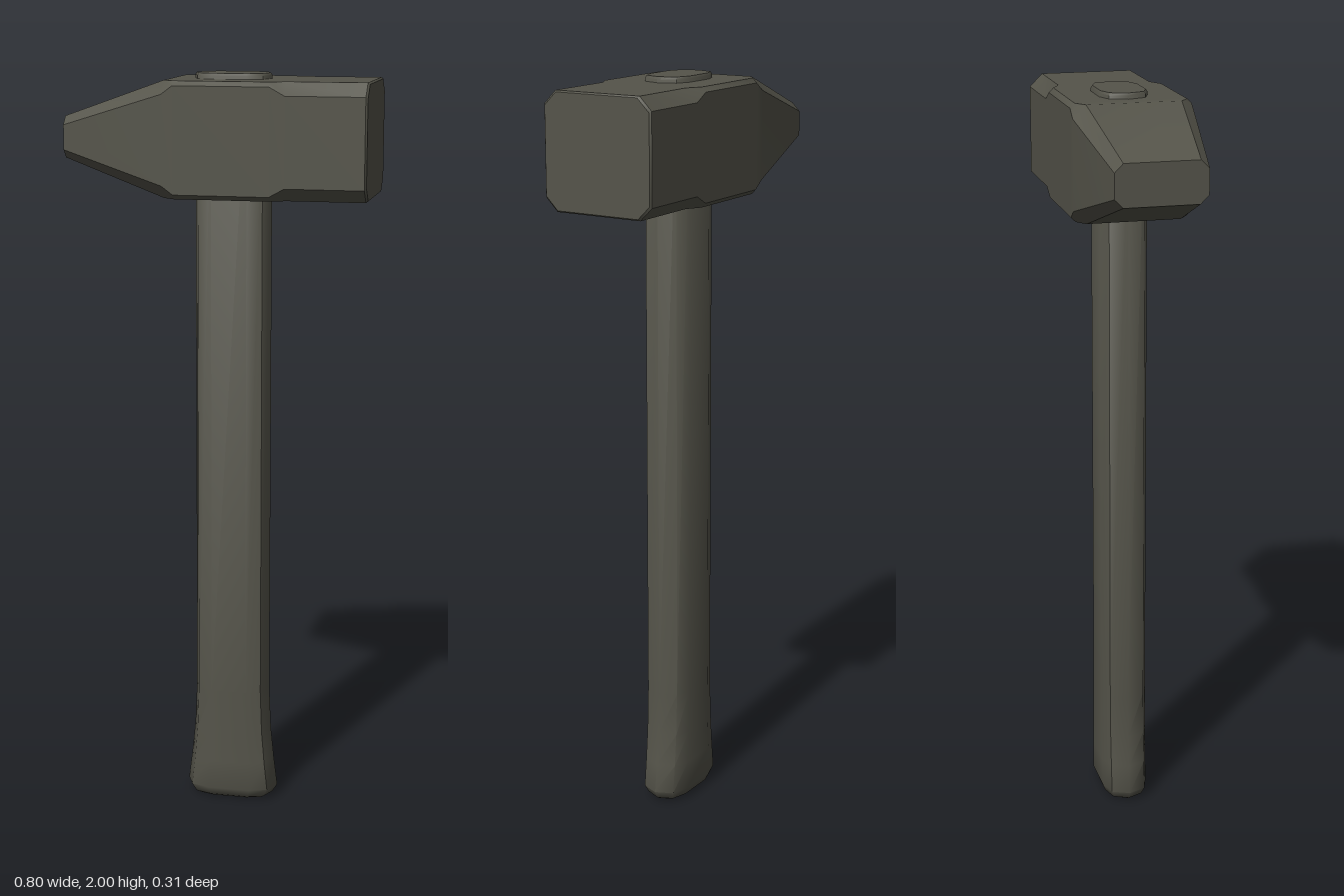
import * as THREE from 'three';
import { toCreasedNormals } from 'three/addons/utils/BufferGeometryUtils.js';

// Skins a list of rings (counter-clockwise seen from the far end) and caps both ends.
function loft(rings, crease) {
  const n = rings[0].length;
  const index = [];
  for (let i = 0; i < rings.length - 1; i++) {
    for (let j = 0; j < n; j++) {
      const k = (j + 1) % n;
      const a = i * n + j, b = i * n + k, c = b + n, d = a + n;
      index.push(a, b, c, a, c, d);
    }
  }
  const last = (rings.length - 1) * n;
  for (let j = 1; j < n - 1; j++) {
    index.push(0, j + 1, j, last, last + j, last + j + 1);
  }
  const geometry = new THREE.BufferGeometry();
  geometry.setAttribute('position', new THREE.Float32BufferAttribute(rings.flat(2), 3));
  geometry.setIndex(index);
  return toCreasedNormals(geometry, crease);
}

// Rectangle with cut corners, in the plane x = const.
function headRing([x, hy, hz, cut]) {
  const y = 1.835;
  return [
    [hy, -hz + cut], [hy, hz - cut], [hy - cut, hz], [-hy + cut, hz],
    [-hy, hz - cut], [-hy, -hz + cut], [-hy + cut, -hz], [hy - cut, -hz],
  ].map(([dy, z]) => [x, y + dy, z]);
}

// Ten-sided flattened oval, in the plane y = const.
function handleRing([y, hx, hz]) {
  return [
    [1, 0], [0.84, -0.75], [0.46, -1], [-0.46, -1], [-0.84, -0.75],
    [-1, 0], [-0.84, 0.75], [-0.46, 1], [0.46, 1], [0.84, 0.75],
  ].map(([u, v]) => [0.027 + u * hx, y, v * hz]);
}

export function createModel() {
  const group = new THREE.Group();
  const material = new THREE.MeshStandardMaterial({ color: 0x55544a });

  const add = (name, geometry) => {
    const mesh = new THREE.Mesh(geometry, material);
    mesh.name = name;
    group.add(mesh);
  };

  // Head: tapered peen, squarer cheeks around the eye, chamfered poll.
  const head = [
    [-0.4, 0.054, 0.118, 0.022],
    [-0.13, 0.15, 0.157, 0.034],
    [-0.1, 0.15, 0.157, 0.012],
    [0.15, 0.15, 0.157, 0.012],
    [0.19, 0.15, 0.157, 0.034],
    [0.395, 0.15, 0.157, 0.034],
    [0.4, 0.146, 0.153, 0.034],
  ];
  add('head', loft(head.map(headRing), 0.6));

  // Handle: flared, rounded butt and a straight shaft passing through the eye.
  const handle = [
    [0, 0.1, 0.042],
    [0.008, 0.114, 0.054],
    [0.03, 0.127, 0.063],
    [0.11, 0.117, 0.063],
    [0.2, 0.108, 0.063],
    [0.32, 0.103, 0.063],
    [1.994, 0.102, 0.063],
    [2, 0.098, 0.059],
  ];
  add('handle', loft(handle.map(handleRing), 0.85));

  return group;
}
